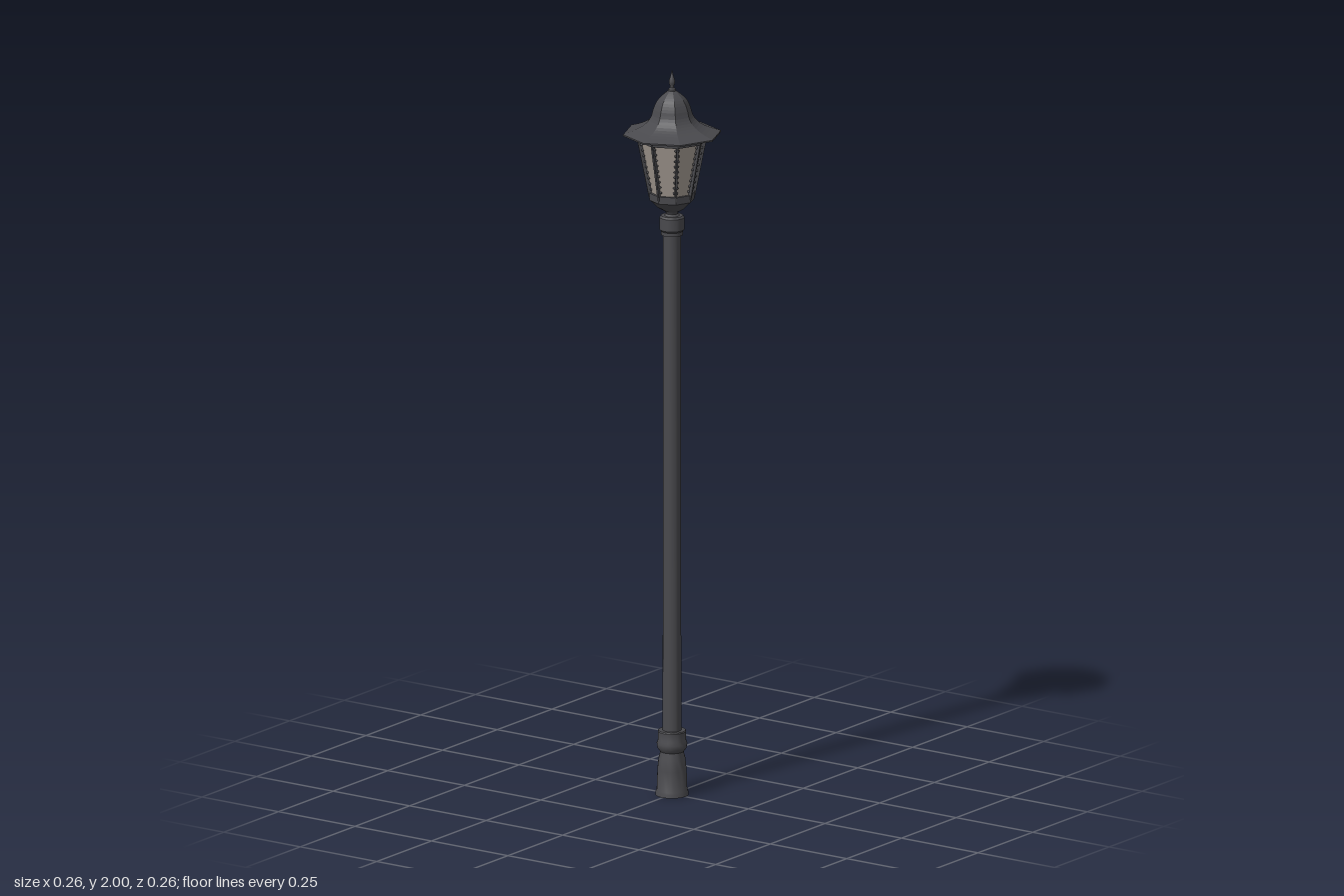
import * as THREE from 'three';
import { toCreasedNormals } from 'three/addons/utils/BufferGeometryUtils.js';

export function createModel() {
  const model = new THREE.Group();
  const iron = new THREE.MeshStandardMaterial({ color: 0x49494d });
  iron.name = 'dark iron';
  const ironFlat = new THREE.MeshStandardMaterial({ color: 0x49494d, flatShading: true, side: THREE.DoubleSide });
  ironFlat.name = 'dark iron, faceted';
  const glass = new THREE.MeshStandardMaterial({ color: 0xa0978f, flatShading: true, side: THREE.DoubleSide });
  glass.name = 'frosted glass';

  const add = (name, geometry, material, parent = model) => {
    const mesh = new THREE.Mesh(geometry, material);
    mesh.name = name;
    parent.add(mesh);
    return mesh;
  };
  const points = (list) => list.map(([r, y]) => new THREE.Vector2(r, y));
  // Round turned part with sharp rims
  const turned = (name, list) =>
    add(name, toCreasedNormals(new THREE.LatheGeometry(points(list), 24), 0.6), iron);
  // Eight-sided part with its corners on the axes
  const faceted = (name, list, material = ironFlat) =>
    add(name, new THREE.LatheGeometry(points(list), 8), material);

  // Post, from the ground up
  turned('base', [[0, 0], [0.044, 0], [0.044, 0.008], [0.041, 0.014], [0.039, 0.07],
    [0.036, 0.1], [0.032, 0.115], [0.031, 0.125], [0, 0.125]]);
  turned('baseRing', [[0, 0.12], [0.032, 0.12], [0.039, 0.13], [0.041, 0.142], [0.038, 0.15],
    [0.037, 0.155], [0.038, 0.175], [0.036, 0.178], [0, 0.178]]);
  turned('pole', [[0.025, 0.17], [0.0235, 1.56]]);
  turned('collar', [[0, 1.545], [0.029, 1.545], [0.029, 1.555], [0.033, 1.56], [0.033, 1.593],
    [0.029, 1.598], [0, 1.598]]);
  turned('neck', [[0.022, 1.596], [0.015, 1.603], [0.018, 1.61], [0.028, 1.618]]);

  // Lantern cup and rims
  faceted('lanternCup', [[0, 1.61], [0.024, 1.612], [0.04, 1.622], [0.054, 1.637],
    [0.061, 1.642], [0.062, 1.662], [0.052, 1.662], [0, 1.662]]);
  faceted('upperRim', [[0.088, 1.806], [0.094, 1.806], [0.097, 1.828], [0.085, 1.828], [0.084, 1.806], [0.088, 1.806]]);
  faceted('glassPanes', [[0.054, 1.66], [0.084, 1.81]], glass);

  // Thin upright bars on the eight corners, with beaded edges
  const bars = new THREE.Group();
  bars.name = 'cornerBars';
  model.add(bars);
  const barShape = new THREE.Shape(points([[0.053, 1.65], [0.062, 1.65], [0.096, 1.82], [0.085, 1.82]]));
  const barGeometry = new THREE.ExtrudeGeometry(barShape, { depth: 0.005, bevelEnabled: false });
  barGeometry.translate(0, 0, -0.0025);
  const bead = new THREE.SphereGeometry(0.0035, 6, 4);
  for (let i = 0; i < 8; i++) {
    const corner = new THREE.Group();
    corner.name = 'cornerBar';
    corner.rotation.y = (i * Math.PI) / 4;
    bars.add(corner);
    add('bar', barGeometry, ironFlat, corner);
    for (let j = 0; j < 9; j++) {
      const t = (j + 0.5) / 9;
      for (const side of [-1, 1]) {
        add('bead', bead, iron, corner)
          .position.set(0.055 + 0.03 * t, 1.665 + 0.14 * t, side * 0.004);
      }
    }
  }

  // Bell-shaped roof with a wide brim
  const bell = new THREE.SplineCurve(points([[0.132, 1.826], [0.098, 1.838], [0.072, 1.853],
    [0.057, 1.872], [0.05, 1.895], [0.04, 1.916], [0.024, 1.932], [0.008, 1.944]]));
  const roof = bell.getPoints(20).map((p) => [p.x, p.y]);
  faceted('roof', [[0, 1.828], [0.09, 1.828], [0.132, 1.822], ...roof]);

  // Spire on the roof
  turned('finial', [[0.011, 1.938], [0.01, 1.946], [0.005, 1.95], [0.005, 1.955], [0.0085, 1.963],
    [0.008, 1.97], [0.0045, 1.981], [0.002, 1.992], [0, 2]]);

  return model;
}
